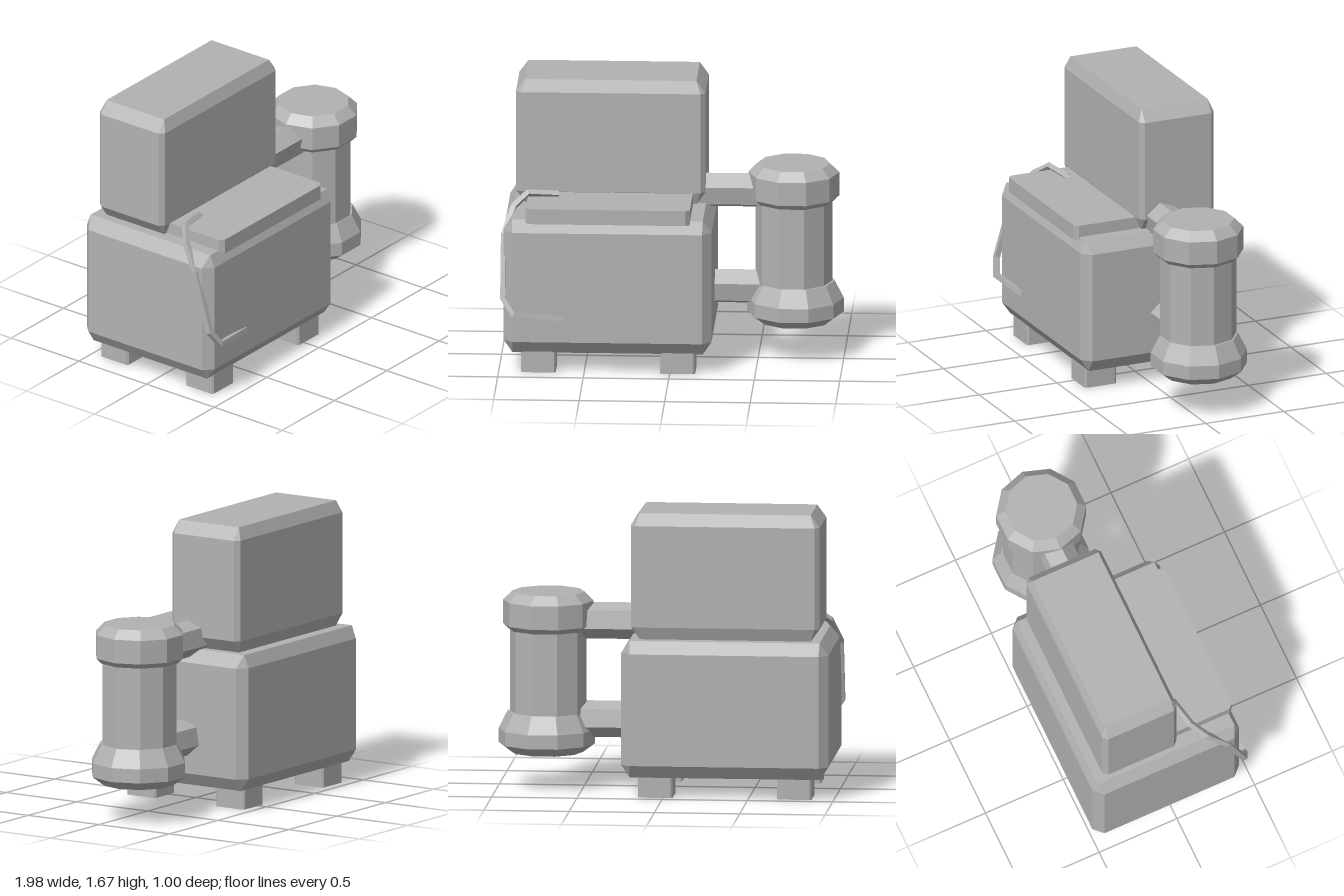
import * as THREE from 'three';
import { ConvexGeometry } from 'three/addons/geometries/ConvexGeometry.js';

const grey = new THREE.MeshStandardMaterial({ color: 0xb2b2b2, flatShading: true, side: THREE.DoubleSide });
grey.name = 'plain grey';

// Box given by [min, max] per axis, with chamfered upright edges (c)
// and end faces inset by [x, z] over a height of h.
function chamferBox(name, [x0, x1], [y0, y1], [z0, z1], c, h = 0, topInset = [c, c], bottomInset = topInset) {
  const points = [];
  const cx = (x0 + x1) / 2, cz = (z0 + z1) / 2;
  const hx = (x1 - x0) / 2, hz = (z1 - z0) / 2;
  for (const sx of [-1, 1]) for (const sz of [-1, 1]) {
    const add = (dx, y, dz) => points.push(new THREE.Vector3(cx + sx * (hx - dx), y, cz + sz * (hz - dz)));
    for (const y of [y0 + h, y1 - h]) {
      add(c, y, 0);
      add(0, y, c);
    }
    if (h > 0) {
      add(topInset[0], y1, topInset[1]);
      add(bottomInset[0], y0, bottomInset[1]);
    }
  }
  return part(name, new ConvexGeometry(points));
}

function part(name, geometry) {
  const mesh = new THREE.Mesh(geometry, grey);
  mesh.name = name;
  return mesh;
}

// Ten-sided turned solid, with flat sides facing front and back
function turned(name, x, profile) {
  const points = profile.map(([r, y]) => new THREE.Vector2(r, y));
  const mesh = part(name, new THREE.LatheGeometry(points, 10, Math.PI / 10));
  mesh.position.set(x, 0, -0.085);
  return mesh;
}

export function createModel() {
  const model = new THREE.Group();
  model.name = 'machine';

  // Main housing, upper block and the ledge in front of it
  model.add(
    chamferBox('body', [-0.97, 0.245], [0.12, 0.93], [-0.505, 0.437], 0.053, 0.075, [0.05, 0.03], [0.05, 0.053]),
    chamferBox('upperBlock', [-0.915, 0.193], [0.93, 1.675], [-0.43, 0.05], 0.028, 0.073, [0.053, 0.028]),
    chamferBox('ledge', [-0.84, 0.12], [0.91, 1.0], [-0.1, 0.437], 0.024)
  );

  // Four feet
  for (const x of [-0.87, -0.055]) {
    for (const z of [-0.443, 0.185]) {
      model.add(chamferBox('foot', [x, x + 0.204], [0, 0.15], [z, z + 0.203], 0.011));
    }
  }

  // Side canister with its upper and lower caps
  model.add(
    turned('canister', 0.705, [[0.225, 0.4], [0.225, 1.0]]),
    turned('canisterTop', 0.705, [[0, 0.935], [0.235, 0.935], [0.265, 0.965], [0.265, 1.105], [0.212, 1.158], [0, 1.158]]),
    turned('canisterBase', 0.714, [[0, 0.21], [0.213, 0.21], [0.283, 0.262], [0.283, 0.345], [0.23, 0.45], [0, 0.45]])
  );

  // Six-sided pipes joining the canister to the body
  for (const y of [0.99, 0.408]) {
    const pipe = new THREE.CylinderGeometry(0.107, 0.107, 0.55, 6, 1, false, Math.PI / 9);
    pipe.rotateZ(Math.PI / 2);
    const mesh = part('pipe', pipe);
    mesh.position.set(0.4, y, -0.09);
    model.add(mesh);
  }

  // Bent handle on the right corner, one tube segment per bend
  const bends = [
    [-0.66, 1.01, 0.13], [-0.84, 1.025, 0.165], [-0.92, 0.96, 0.23], [-0.972, 0.82, 0.34],
    [-0.972, 0.46, 0.445], [-0.91, 0.37, 0.475], [-0.62, 0.34, 0.435]
  ].map((p) => new THREE.Vector3(...p));
  const path = new THREE.CatmullRomCurve3(bends);
  path.getUtoTmapping = (u) => u;
  model.add(part('handle', new THREE.TubeGeometry(path, bends.length - 1, 0.022, 4)));

  return model;
}
